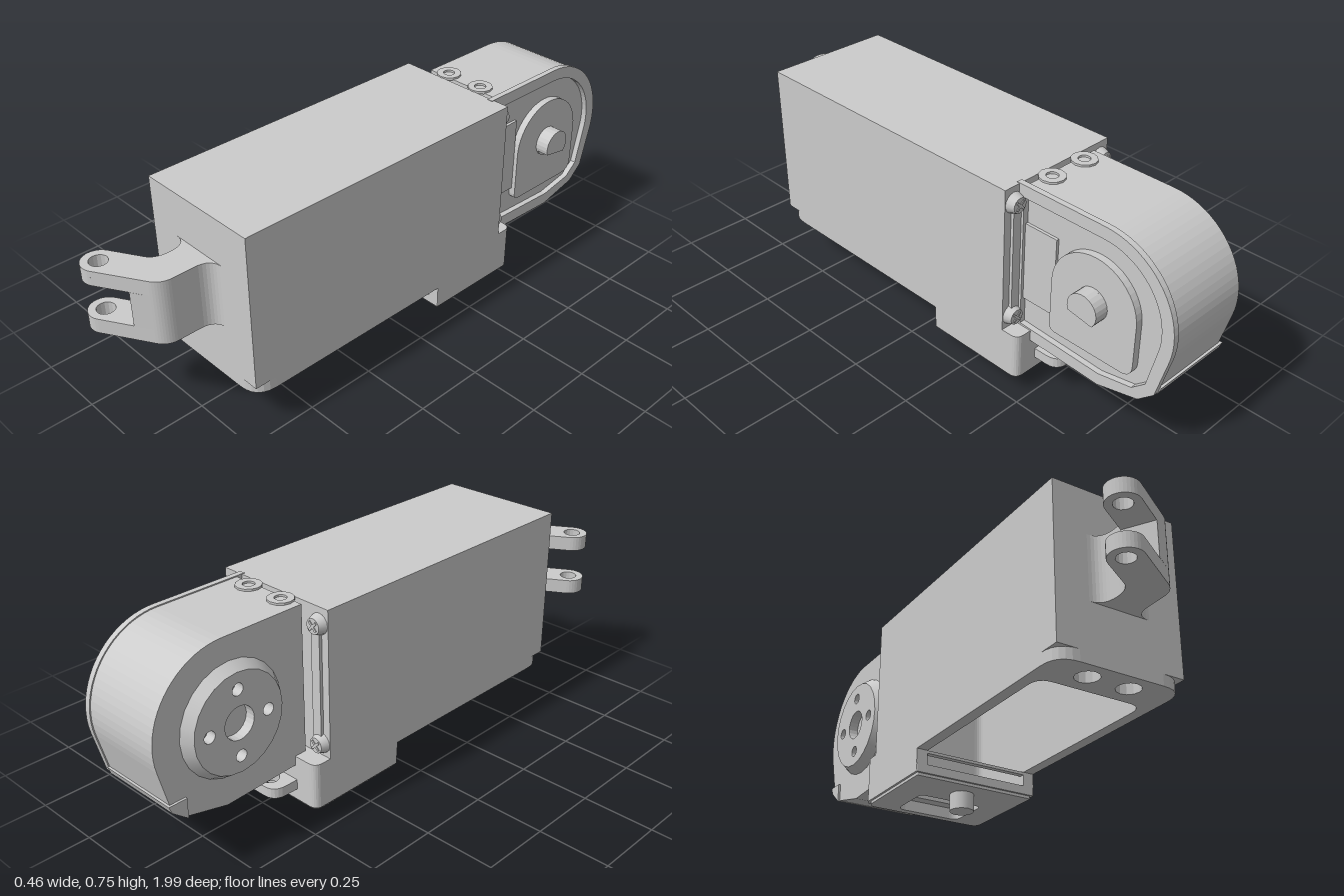
import * as THREE from 'three';

const mat = new THREE.MeshStandardMaterial({ color: 0xcccccc, side: THREE.DoubleSide });

export function createModel() {
  const model = new THREE.Group();

  const add = (name, geometry) => {
    const mesh = new THREE.Mesh(geometry, mat);
    mesh.name = name;
    model.add(mesh);
    return mesh;
  };
  const extrude = (shape, depth, seg) =>
    new THREE.ExtrudeGeometry(shape, { depth, bevelEnabled: false, curveSegments: seg });
  // Shape drawn in (x, z), extruded from y0 up to y1
  const plan = (name, shape, y0, y1, seg = 6) =>
    add(name, extrude(shape, y1 - y0, seg).rotateX(Math.PI / 2).translate(0, y1, 0));
  // Shape drawn in (-z, y), extruded from x0 to x1
  const side = (name, shape, x0, x1, seg = 8) =>
    add(name, extrude(shape, x1 - x0, seg).rotateY(Math.PI / 2).translate(x0, 0, 0));

  const circle = (x, y, r) => new THREE.Shape().absarc(x, y, r, 0, Math.PI * 2, false);
  // Rectangle with separate corner radii at its low and high second coordinate
  const rect = (x0, y0, x1, y1, rLow = 0, rHigh = 0) => {
    const s = new THREE.Shape();
    s.moveTo(x0 + rLow, y0);
    s.lineTo(x1 - rLow, y0);
    if (rLow) s.quadraticCurveTo(x1, y0, x1, y0 + rLow);
    s.lineTo(x1, y1 - rHigh);
    if (rHigh) s.quadraticCurveTo(x1, y1, x1 - rHigh, y1);
    s.lineTo(x0 + rHigh, y1);
    if (rHigh) s.quadraticCurveTo(x0, y1, x0, y1 - rHigh);
    s.lineTo(x0, y0 + rLow);
    if (rLow) s.quadraticCurveTo(x0, y0, x0 + rLow, y0);
    return s;
  };
  const cut = (shape, ...holes) => {
    shape.holes.push(...holes);
    return shape;
  };

  // Hollow body, open below
  const pocket = () => rect(-0.19, -0.38, 0.19, 0.55, 0.03, 0.05);
  plan('bodyTop', rect(-0.23, -0.41, 0.23, 0.7), 0.7, 0.74);
  plan('bodyWalls', cut(rect(-0.23, -0.41, 0.23, 0.7), pocket()), 0.19, 0.7);
  plan('bodyBottomRim', cut(rect(-0.23, -0.41, 0.23, 0.7, 0, 0.08), pocket(),
    circle(-0.075, 0.63, 0.04), circle(0.075, 0.63, 0.04)), 0.15, 0.19);

  // Lower housing: floor with window, side walls, rear wall
  const window_ = () => rect(-0.12, -0.44, 0.12, -0.27, 0.03, 0.02);
  plan('housingFloorEdge', cut(rect(-0.222, -0.467, 0.222, -0.108, 0.03, 0.005), window_()), 0.06, 0.07);
  plan('housingFloor', cut(rect(-0.23, -0.475, 0.23, -0.1, 0.03, 0.005), window_()), 0.07, 0.1);
  for (const s of [-1, 1])
    plan('housingSideWall', rect(s * 0.21 - 0.02, -0.44, s * 0.21 + 0.02, -0.1), 0.1, 0.15);
  plan('housingFrontLintel', rect(-0.19, -0.12, 0.19, -0.1), 0.14, 0.15);
  plan('housingRearWall', rect(-0.23, -0.475, 0.23, -0.4, 0.03, 0), 0.1, 0.23);
  add('bottomPin', new THREE.CylinderGeometry(0.042, 0.042, 0.1, 12).translate(0, 0.05, -0.197));

  // Rear mounting tab with two holes
  plan('rearTab', cut(rect(-0.145, -0.572, 0.145, -0.47, 0.05, 0),
    circle(-0.072, -0.525, 0.032), circle(0.072, -0.525, 0.032)), 0.11, 0.145);

  // Rounded head with a raised rim on the left side
  const headShape = (inset) => {
    const s = new THREE.Shape();
    const start = inset ? 0.43 : 0.4;
    s.moveTo(start, 0.742 - inset);
    s.lineTo(0.735, 0.742 - inset);
    s.absarc(0.735, 0.477, 0.265 - inset, Math.PI / 2, -0.25, true);
    s.lineTo(0.955 - inset * 0.8, 0.27 + inset * 0.5);
    s.lineTo(0.9 - inset * 0.6, 0.22 + inset * 0.7);
    s.lineTo(0.75, 0.183 + inset);
    s.lineTo(start, 0.195 + inset);
    s.closePath();
    return s;
  };
  side('head', headShape(0.004), -0.14, 0.15, 10);
  side('headRim', cut(headShape(0), headShape(0.042)), 0.15, 0.17, 10);
  side('headLowerLip', new THREE.Shape([[0.9, 0.22], [0.955, 0.265], [0.965, 0.29], [0.9, 0.29]]
    .map(([u, v]) => new THREE.Vector2(u, v))), -0.148, 0.15);

  // Raised gear plate, its bridge to the body, and the flatted shaft
  const plate = new THREE.Shape();
  plate.moveTo(0.555, 0.31);
  plate.lineTo(0.555, 0.47);
  plate.absarc(0.715, 0.47, 0.16, Math.PI, 0, true);
  plate.lineTo(0.875, 0.33);
  plate.quadraticCurveTo(0.875, 0.285, 0.83, 0.285);
  plate.lineTo(0.58, 0.285);
  plate.quadraticCurveTo(0.555, 0.285, 0.555, 0.31);
  side('gearPlate', plate, 0.14, 0.175, 12);
  side('plateBridge', rect(0.42, 0.33, 0.555, 0.605), 0.14, 0.16);
  side('shaftBase', circle(0.715, 0.47, 0.055), 0.14, 0.18, 8);
  const dShaft = new THREE.Shape();
  dShaft.absarc(0.715, 0.47, 0.055, -0.75, 3.55, false);
  dShaft.closePath();
  side('outputShaft', dShaft, 0.17, 0.225, 8);

  // Bearing cap on the right side: bevelled ring around a drilled disc
  const disc = circle(0.715, 0.47, 0.165);
  disc.holes.push(circle(0.715, 0.47, 0.055));
  for (let i = 0; i < 4; i++) {
    const a = (i * Math.PI) / 2;
    disc.holes.push(circle(0.715 + 0.11 * Math.cos(a), 0.47 + 0.11 * Math.sin(a), 0.02));
  }
  side('capDisc', disc, -0.175, -0.135, 12);
  add('capBevel', new THREE.CylinderGeometry(0.165, 0.19, 0.037, 24, 1, true)
    .rotateZ(Math.PI / 2).translate(-0.1565, 0.47, -0.715));

  // Ring rivets on top
  for (const x of [-0.072, 0.072])
    plan('topRivet', cut(circle(x, -0.45, 0.043), circle(x, -0.45, 0.02)), 0.735, 0.745);

  // Rear corner screws with crossed heads, and the strips between them
  for (const s of [-1, 1]) {
    add('cornerStrip', new THREE.BoxGeometry(0.035, 0.37, 0.014).translate(s * 0.185, 0.475, -0.414));
    for (const y of [0.275, 0.685]) {
      add('screwHead', new THREE.CylinderGeometry(0.026, 0.036, 0.03, 16)
        .rotateX(-Math.PI / 2).translate(s * 0.193, y, -0.422));
      for (const a of [Math.PI / 4, -Math.PI / 4])
        add('screwCross', new THREE.BoxGeometry(0.04, 0.008, 0.004)
          .rotateZ(a).translate(s * 0.193, y, -0.438));
    }
  }

  // Cranked front arm: two forked cheeks joined by a shorter web
  const armShape = (forked) => {
    const s = new THREE.Shape();
    s.moveTo(0.11, 0.7);
    s.quadraticCurveTo(0.055, 0.7, 0.055, 0.76);
    s.lineTo(0.055, 0.84);
    s.quadraticCurveTo(0.052, 0.877, 0.02, 0.895);
    if (forked) {
      s.lineTo(-0.1375, 0.9876);
      s.absarc(-0.165, 0.94, 0.055, Math.PI / 3, (Math.PI * 4) / 3, false);
      s.holes.push(circle(-0.165, 0.94, 0.03));
    } else {
      s.lineTo(-0.035, 0.928);
    }
    s.lineTo(-0.09, 0.833);
    s.quadraticCurveTo(-0.058, 0.815, -0.058, 0.765);
    s.quadraticCurveTo(-0.058, 0.7, -0.11, 0.7);
    s.closePath();
    return s;
  };
  plan('armCheekLower', armShape(true), 0.355, 0.407, 8);
  plan('armWeb', armShape(false), 0.407, 0.53, 8);
  plan('armCheekUpper', armShape(true), 0.53, 0.582, 8);

  return model;
}
